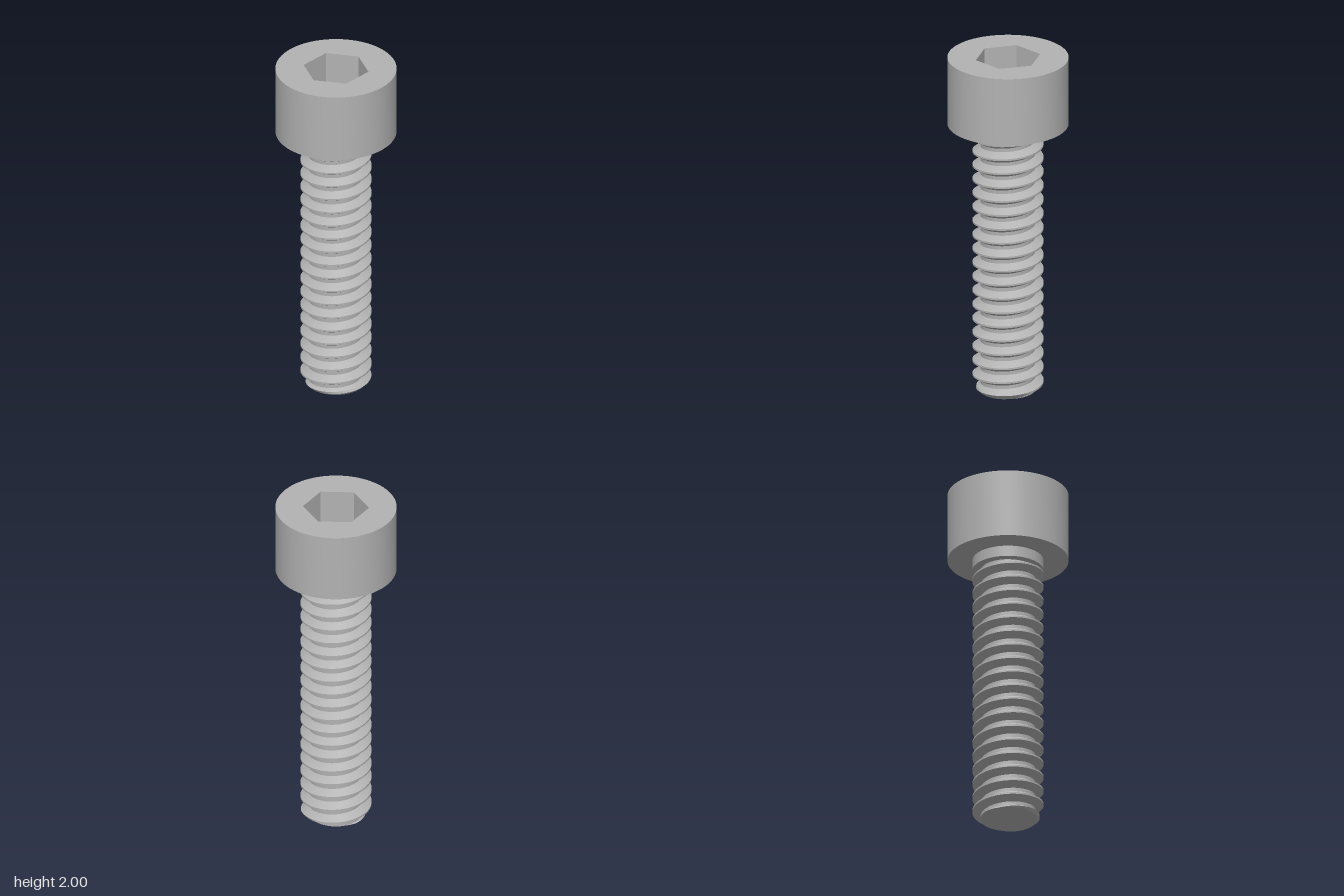
import * as THREE from 'three';
import { toCreasedNormals } from 'three/addons/utils/BufferGeometryUtils.js';

const HEAD_R = 0.34, SHANK_R = 0.2, ROOT_R = 0.155;
const TOP = 2, HEAD_Y = 1.6, THREAD_TOP = 1.537;
const HEX_R = 0.186, HEX_DEPTH = 0.2;
const PITCH = 0.084, FIRST_CREST = 0.04;

// Right-handed thread with flat crests and roots, chamfered at the tip
function threadRadius(turn, y) {
  const u = (y - FIRST_CREST) / PITCH - turn;
  const d = Math.abs(u - Math.round(u));
  const t = THREE.MathUtils.clamp((d - 1 / 16) / (3 / 8 - 1 / 16), 0, 1);
  return Math.min(THREE.MathUtils.lerp(SHANK_R, ROOT_R, t), 0.165 + y);
}

function threadGeometry() {
  const segments = 72;
  const offsets = [-1 / 16, 1 / 16, 7 / 32, 3 / 8, 5 / 8, 25 / 32];
  const rows = [];
  for (let n = -2; n <= Math.ceil(THREAD_TOP / PITCH) + 1; n++) {
    for (const o of offsets) rows.push(FIRST_CREST + (n + o) * PITCH);
  }
  const positions = [], index = [], heights = [];
  const point = (r, y, turn) => {
    const a = turn * Math.PI * 2;
    positions.push(r * Math.cos(a), y, -r * Math.sin(a));
    heights.push(y);
  };
  // each row follows the helix and is trimmed at both ends
  for (const base of rows) {
    for (let i = 0; i <= segments; i++) {
      const turn = i / segments;
      const y = THREE.MathUtils.clamp(base + turn * PITCH, 0, THREAD_TOP);
      point(threadRadius(turn, y), y, turn);
    }
  }
  const w = segments + 1;
  for (let j = 0; j < rows.length - 1; j++) {
    for (let i = 0; i < segments; i++) {
      const a = j * w + i, b = a + 1, c = b + w, d = a + w;
      if (heights[b] !== heights[c]) index.push(a, b, c);
      if (heights[a] !== heights[d]) index.push(a, c, d);
    }
  }
  // flat tip
  const centre = heights.length;
  point(0, 0, 0);
  for (let i = 0; i <= segments; i++) point(threadRadius(i / segments, 0), 0, i / segments);
  for (let i = 1; i <= segments; i++) index.push(centre, centre + i + 1, centre + i);

  const g = new THREE.BufferGeometry();
  g.setAttribute('position', new THREE.Float32BufferAttribute(positions, 3));
  g.setIndex(index);
  return toCreasedNormals(g, 0.5);
}

export function createModel() {
  const model = new THREE.Group();
  model.name = 'socketHeadScrew';
  const steel = new THREE.MeshStandardMaterial({ color: 0xb2b2b2 });
  steel.name = 'steelGrey';

  const add = (name, geometry, parent, y = 0) => {
    const mesh = new THREE.Mesh(geometry, steel);
    mesh.name = name;
    mesh.position.y = y;
    parent.add(mesh);
  };

  const head = new THREE.Group();
  head.name = 'head';
  model.add(head);

  // Head side and underside
  const profile = [[0, HEAD_Y], [HEAD_R, HEAD_Y], [HEAD_R, TOP]].map(p => new THREE.Vector2(...p));
  add('headBody', toCreasedNormals(new THREE.LatheGeometry(profile, 96), 0.5), head);

  // Top face around the hexagonal opening
  const face = new THREE.Shape().absarc(0, 0, HEAD_R, 0, Math.PI * 2);
  const hex = [];
  for (let i = 0; i < 6; i++) {
    const a = i * Math.PI / 3;
    hex.push(new THREE.Vector2(HEX_R * Math.cos(a), HEX_R * Math.sin(a)));
  }
  face.holes.push(new THREE.Path(hex));
  add('headTop', new THREE.ShapeGeometry(face, 96).rotateX(-Math.PI / 2), head, TOP);

  // Socket walls, mirrored so that they face inward, and floor
  const walls = new THREE.CylinderGeometry(HEX_R, HEX_R, HEX_DEPTH, 6, 1, true, Math.PI / 6)
    .scale(-1, 1, 1).toNonIndexed();
  walls.computeVertexNormals();
  add('socketWalls', walls, head, TOP - HEX_DEPTH / 2);
  add('socketFloor', new THREE.CircleGeometry(HEX_R, 6).rotateX(-Math.PI / 2), head, TOP - HEX_DEPTH);

  // Plain shank under the head, then the thread
  const shankHeight = HEAD_Y - THREAD_TOP;
  add('shank', new THREE.CylinderGeometry(SHANK_R, SHANK_R, shankHeight, 72), model, THREAD_TOP + shankHeight / 2);
  add('thread', threadGeometry(), model);

  return model;
}
